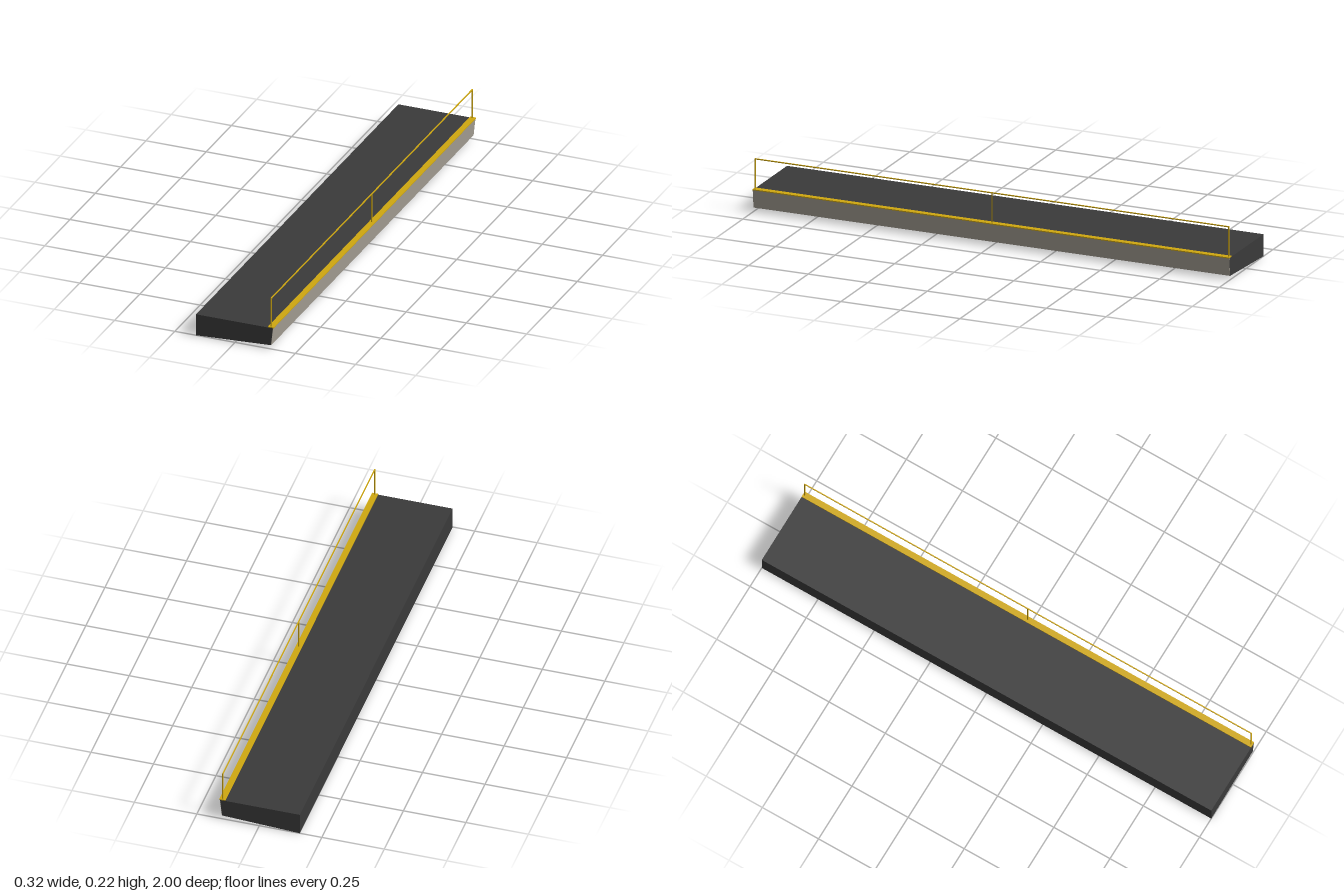
import * as THREE from 'three';

const LENGTH = 2;

function material(color) {
  return new THREE.MeshStandardMaterial({ color });
}

// Extrude an x/y outline along the full length, centred on z = 0
function prism(name, points, mat) {
  const shape = new THREE.Shape(points.map(([x, y]) => new THREE.Vector2(x, y)));
  const geometry = new THREE.ExtrudeGeometry(shape, { depth: LENGTH, bevelEnabled: false });
  geometry.translate(0, 0, -LENGTH / 2);
  const mesh = new THREE.Mesh(geometry, mat);
  mesh.name = name;
  return mesh;
}

function box(name, size, position, mat) {
  const mesh = new THREE.Mesh(new THREE.BoxGeometry(...size), mat);
  mesh.name = name;
  mesh.position.set(...position);
  return mesh;
}

export function createModel() {
  const group = new THREE.Group();
  group.name = 'platform';
  const dark = material(0x3a3a3a);
  const pale = material(0xa8a296);
  const yellow = material(0xd0a810);

  // Deck with a sloping underside and a leaning outer edge
  group.add(prism('deck', [[-0.162, 0.001], [0.149, 0.017], [0.157, 0.09], [-0.162, 0.09]], dark));

  // Pale facing on the outer edge
  group.add(prism('edgeFacing', [[0.149, 0.017], [0.15, 0.017], [0.158, 0.09], [0.157, 0.09]], pale));

  // Yellow strip along the edge
  group.add(box('edgeStrip', [0.024, 0.004, LENGTH], [0.148, 0.092, 0], yellow));

  // Thin handrail on three posts
  const rail = new THREE.Group();
  rail.name = 'handrail';
  const t = 0.004;
  for (const z of [-0.993, 0, 0.993]) {
    rail.add(box('post', [t, 0.122, t], [0.148, 0.153, z], yellow));
  }
  rail.add(box('topRail', [t, t, 1.99], [0.148, 0.214, 0], yellow));
  group.add(rail);

  return group;
}
